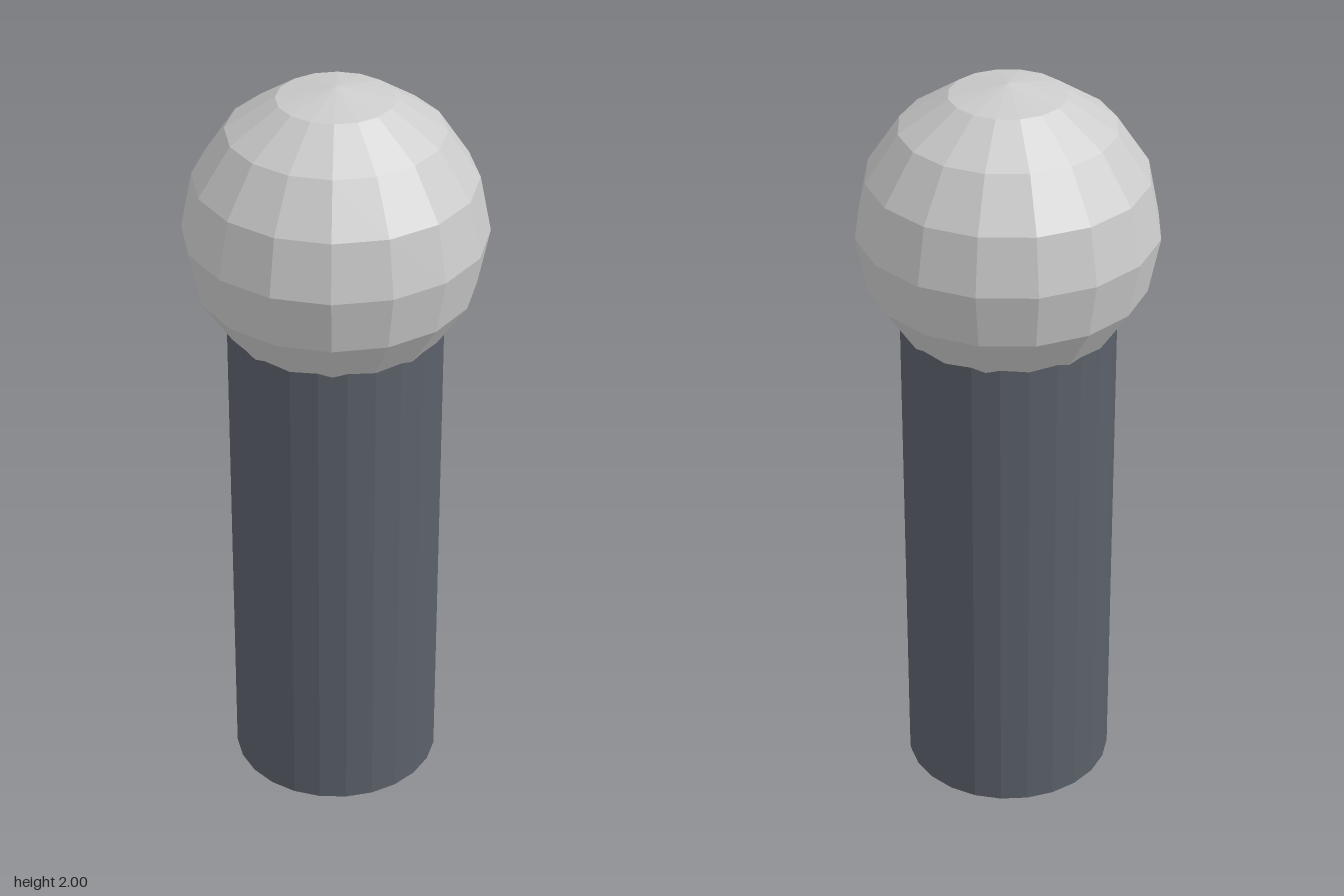
import * as THREE from 'three';

const BALL_RADIUS = 0.386;
const BALL_CENTRE = 2 - BALL_RADIUS;
const POST_RADIUS = 0.278;
const POST_HEIGHT = 1.4;

function addPart(group, name, geometry, color, y) {
  const material = new THREE.MeshStandardMaterial({ color, flatShading: true });
  const mesh = new THREE.Mesh(geometry, material);
  mesh.name = name;
  mesh.position.y = y;
  group.add(mesh);
}

export function createModel() {
  const model = new THREE.Group();
  model.name = 'ballToppedPost';

  // Dark post, its top end hidden inside the ball
  addPart(model, 'post',
    new THREE.CylinderGeometry(POST_RADIUS, POST_RADIUS, POST_HEIGHT, 24),
    0x5b6069, POST_HEIGHT / 2);

  // Faceted ball on top
  addPart(model, 'ball',
    new THREE.SphereGeometry(BALL_RADIUS, 16, 8),
    0xcccccc, BALL_CENTRE);

  return model;
}
